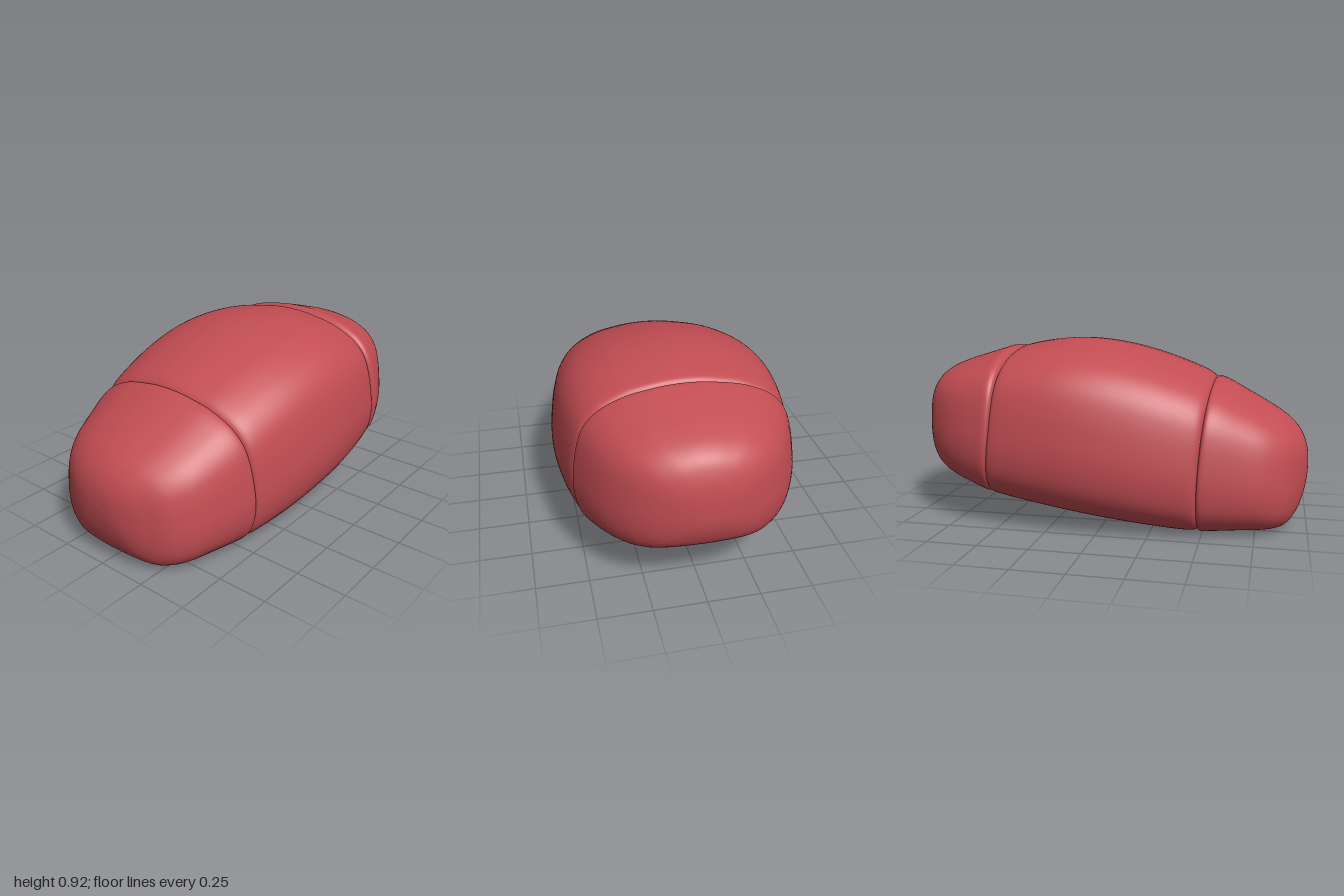
import * as THREE from 'three';
import { mergeVertices } from 'three/addons/utils/BufferGeometryUtils.js';

// Half cross-section from crown to belly: [share of half width, share of height]
const HALF = 60;
const halfProfile = new THREE.CatmullRomCurve3([
  [0, 1], [0.15, 0.995], [0.3, 0.98], [0.5, 0.95], [0.65, 0.907], [0.76, 0.862],
  [0.85, 0.8], [0.91, 0.73], [0.955, 0.625], [0.985, 0.5], [1, 0.37], [0.986, 0.255],
  [0.945, 0.16], [0.86, 0.078], [0.76, 0.03], [0.66, 0.009], [0.5, 0], [0.25, 0], [0, 0],
].map(([z, v]) => new THREE.Vector3(z, v, 0))).getSpacedPoints(HALF);

// Full ring: down the -z side, back up the +z side, with a matching ellipse
const ring = [];
for (let j = 0; j < HALF * 2; j++) {
  const side = j <= HALF ? -1 : 1;
  const p = halfProfile[j <= HALF ? j : HALF * 2 - j];
  const a = (j / HALF) * Math.PI;
  ring.push({ z: side * p.x, v: p.y, ovalZ: -Math.sin(a), ovalV: 0.5 + 0.5 * Math.cos(a) });
}

// Loft along x. Each station is [topX, topY, bottomX, bottomY, halfWidth].
function shell(stations, steps) {
  const top = new THREE.CatmullRomCurve3(stations.map(s => new THREE.Vector3(s[0], s[1], s[4])));
  const bottom = new THREE.CatmullRomCurve3(stations.map(s => new THREE.Vector3(s[2], s[3], 0)));
  const positions = [], index = [];
  const rows = (stations.length - 1) * steps, around = ring.length;
  for (let i = 0; i <= rows; i++) {
    const t = top.getPoint(i / rows), b = bottom.getPoint(i / rows);
    // Sections turn oval towards the tips
    const oval = 0.6 * Math.max(0, 1 - t.z / 0.4);
    ring.forEach((r, j) => {
      const z = THREE.MathUtils.lerp(r.z, r.ovalZ, oval);
      const v = THREE.MathUtils.lerp(r.v, r.ovalV, oval);
      const x = THREE.MathUtils.lerp(b.x, t.x, v);
      // Seams bow slightly towards the middle
      const bow = 0.06 * v * (1 - v) * Math.sin(Math.PI * x);
      positions.push(x - bow, THREE.MathUtils.lerp(b.y, t.y, v), t.z * z);
      if (i < rows) {
        const k = (j + 1) % around, p = i * around, q = p + around;
        index.push(p + j, q + j, q + k, p + j, q + k, p + k);
      }
    });
  }
  const geometry = new THREE.BufferGeometry();
  geometry.setAttribute('position', new THREE.Float32BufferAttribute(positions, 3));
  geometry.setIndex(index);
  const merged = mergeVertices(geometry, 1e-5);
  merged.computeVertexNormals();
  return merged;
}

// Shared rings at the bottoms of the two slanted seams
const lowSeam = [-0.525, 0.724, -0.48, 0.015, 0.49];
const highSeam = [0.508, 0.85, 0.567, 0.16, 0.518];

const lowCap = [
  [-1, 0.3, -1, 0.3, 0],
  [-0.995, 0.37, -0.995, 0.235, 0.085],
  [-0.98, 0.425, -0.975, 0.14, 0.165],
  [-0.95, 0.48, -0.94, 0.065, 0.248],
  [-0.89, 0.54, -0.89, 0.025, 0.342],
  [-0.8, 0.598, -0.8, 0.014, 0.414],
  [-0.68, 0.665, -0.66, 0.01, 0.464],
  [-0.58, 0.719, -0.54, 0.005, 0.498],
  [-0.545, 0.73, -0.497, 0.003, 0.505],
  [-0.533, 0.73, -0.486, 0.007, 0.502],
  lowSeam,
];

const middle = [
  lowSeam,
  [-0.513, 0.738, -0.468, 0.01, 0.505],
  [-0.49, 0.755, -0.445, 0.008, 0.517],
  [-0.4, 0.795, -0.37, 0.014, 0.537],
  [-0.2, 0.863, -0.2, 0.034, 0.568],
  [0, 0.906, 0, 0.06, 0.585],
  [0.17, 0.919, 0.17, 0.085, 0.586],
  [0.33, 0.908, 0.35, 0.112, 0.57],
  [0.45, 0.886, 0.49, 0.134, 0.547],
  [0.486, 0.875, 0.54, 0.143, 0.535],
  [0.499, 0.865, 0.556, 0.149, 0.528],
  highSeam,
];

const highCap = [
  highSeam,
  [0.521, 0.866, 0.576, 0.153, 0.53],
  [0.542, 0.876, 0.592, 0.155, 0.53],
  [0.6, 0.862, 0.63, 0.167, 0.515],
  [0.7, 0.832, 0.71, 0.19, 0.478],
  [0.8, 0.8, 0.8, 0.218, 0.422],
  [0.89, 0.762, 0.89, 0.252, 0.339],
  [0.945, 0.715, 0.945, 0.295, 0.255],
  [0.98, 0.64, 0.98, 0.36, 0.162],
  [0.996, 0.56, 0.996, 0.42, 0.078],
  [1, 0.49, 1, 0.49, 0],
];

export function createModel() {
  const group = new THREE.Group();
  group.name = 'capsuleBody';
  const red = new THREE.MeshStandardMaterial({ color: 0xc24d53 });
  red.name = 'softRed';

  const parts = { lowEndCap: lowCap, middleShell: middle, highEndCap: highCap };
  for (const [name, stations] of Object.entries(parts)) {
    const mesh = new THREE.Mesh(shell(stations, 7), red);
    mesh.name = name;
    group.add(mesh);
  }
  return group;
}
